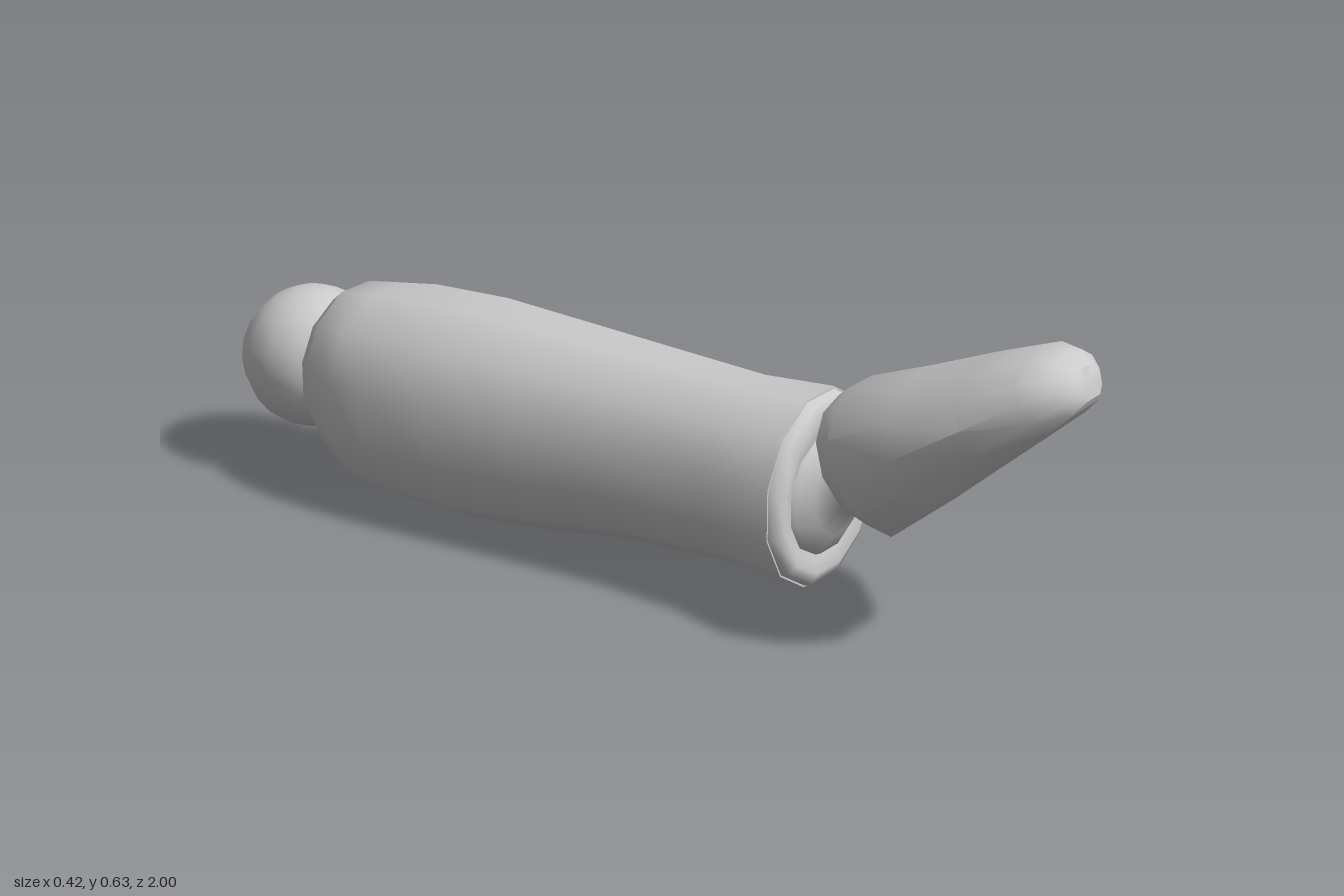
import * as THREE from 'three';
import { toCreasedNormals } from 'three/addons/utils/BufferGeometryUtils.js';

const material = new THREE.MeshStandardMaterial({ color: 0xcccccc });

// Skin a list of rings (counter-clockwise seen from +z, advancing to +z), with end caps
function loft(rings, crease) {
  const n = rings[0].length, pos = [];
  const tri = (...pts) => pts.forEach((p) => pos.push(...p));
  for (let i = 0; i < rings.length - 1; i++) {
    for (let j = 0; j < n; j++) {
      const k = (j + 1) % n, a = rings[i], b = rings[i + 1];
      tri(a[j], a[k], b[k]);
      tri(a[j], b[k], b[j]);
    }
  }
  const first = rings[0], last = rings[rings.length - 1];
  const middle = (r) => [0, 1, 2].map((c) => r.reduce((s, p) => s + p[c], 0) / n);
  const m0 = middle(first), m1 = middle(last);
  for (let j = 0; j < n; j++) {
    const k = (j + 1) % n;
    tri(m0, first[k], first[j]);
    tri(m1, last[j], last[k]);
  }
  const g = new THREE.BufferGeometry();
  g.setAttribute('position', new THREE.Float32BufferAttribute(pos, 3));
  return toCreasedNormals(g, crease);
}

// Twelve-sided upright ring with flats at top, bottom and sides
function ring([z, cy, rx, ry]) {
  const k = 1 / Math.cos(Math.PI / 12);
  return Array.from({ length: 12 }, (_, i) => {
    const a = ((i + 0.5) * Math.PI) / 6;
    return [rx * k * Math.cos(a), cy + ry * k * Math.sin(a), z];
  });
}

// Half outline of the foot section, from sole edge to instep (unit square)
const footHalf = [[0.58, -1], [0.9, -0.55], [1, 0], [0.88, 0.52], [0.56, 0.87], [0.18, 1]];

// Slanted foot section between a sole point and an instep point
function footRing([bz, by, tz, ty, xl, xr]) {
  const outline = [...footHalf, ...footHalf.map(([u, v]) => [-u, v]).reverse()];
  return outline.map(([u, v]) => {
    const t = (v + 1) / 2;
    return [(xl + xr) / 2 + (u * (xr - xl)) / 2, by + (ty - by) * t, bz + (tz - bz) * t];
  });
}

export function createModel() {
  const group = new THREE.Group();
  const add = (name, geometry) => {
    const mesh = new THREE.Mesh(geometry, material);
    mesh.name = name;
    group.add(mesh);
    return mesh;
  };

  // Shin: z, centre height, half width, half height
  add('shin', loft([
    [-0.76, 0.245, 0.14, 0.145],
    [-0.73, 0.24, 0.16, 0.175],
    [-0.65, 0.22, 0.19, 0.205],
    [-0.56, 0.222, 0.203, 0.216],
    [-0.38, 0.225, 0.207, 0.22],
    [-0.2, 0.23, 0.195, 0.208],
    [0, 0.24, 0.18, 0.19],
    [0.25, 0.24, 0.167, 0.18],
    [0.405, 0.24, 0.178, 0.19],
  ].map(ring), 1));

  // Rounded cuff closing the lower end of the shin
  add('cuff', loft([
    [0.4, 0.24, 0.176, 0.188],
    [0.42, 0.238, 0.17, 0.18],
    [0.43, 0.235, 0.15, 0.155],
    [0.42, 0.232, 0.128, 0.128],
  ].map(ring), 1.2));

  // Ankle cone leading up into the foot
  add('ankle', loft([
    [0.4, 0.234, 0.128, 0.126],
    [0.43, 0.235, 0.115, 0.115],
    [0.455, 0.255, 0.09, 0.095],
    [0.485, 0.28, 0.068, 0.07],
    [0.57, 0.34, 0.068, 0.07],
  ].map(ring), 1));

  // Foot: sole z, y; instep z, y; right and left edges
  add('foot', loft([
    [0.55, 0.262, 0.46, 0.415, -0.12, 0.12],
    [0.575, 0.238, 0.465, 0.45, -0.17, 0.165],
    [0.635, 0.233, 0.495, 0.475, -0.192, 0.19],
    [0.74, 0.325, 0.64, 0.533, -0.21, 0.175],
    [0.85, 0.42, 0.78, 0.593, -0.195, 0.135],
    [0.945, 0.503, 0.89, 0.637, -0.162, 0.083],
    [0.985, 0.543, 0.945, 0.638, -0.125, 0.04],
    [1.0, 0.565, 0.98, 0.62, -0.085, 0.0],
  ].map(footRing), 0.68));

  // Knee ball
  const knee = add('kneeBall', new THREE.SphereGeometry(0.15, 14, 12));
  knee.position.set(0, 0.24, -0.85);

  return group;
}
